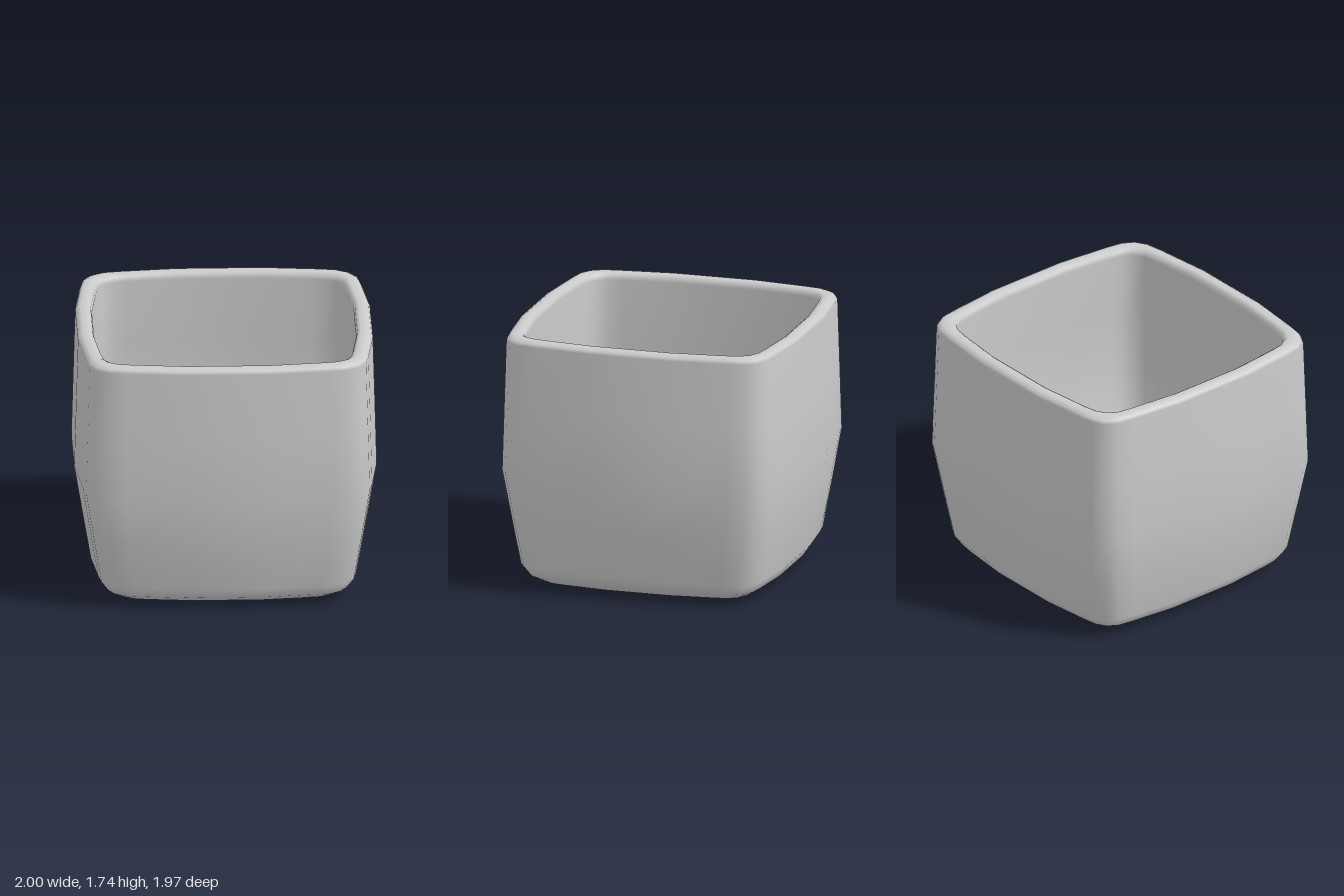
import * as THREE from 'three';

// One eighth of the bulging rounded-square outline, from mid side to corner
const EIGHTH = [[1, 0], [1, 0.3], [0.957, 0.69], [0.937, 0.81], [0.89, 0.89]];

// Wall profile as [scale, height]: up the outside, over the rim, down the inside
const PROFILE = [
  [0.3, 0], [0.55, 0], [0.65, 0.003], [0.76, 0.025], [0.84, 0.075], [0.89, 0.15],
  [0.945, 0.475], [1, 0.81], [0.988, 1.25], [0.975, 1.7], [0.965, 1.72], [0.94, 1.735],
  [0.895, 1.735], [0.873, 1.72], [0.865, 1.69], [0.873, 1.25], [0.88, 0.81],
  [0.83, 0.5], [0.785, 0.27], [0.745, 0.19], [0.68, 0.14], [0.6, 0.12], [0.3, 0.12],
];

function outline() {
  // Mirror across the diagonal to get a quarter, then turn it four times
  const quarter = [...EIGHTH, ...EIGHTH.slice(1, -1).reverse().map(([a, b]) => [b, a])];
  const points = [];
  for (let k = 0; k < 4; k++) {
    for (const [a, b] of quarter) {
      let x = a, z = b;
      for (let i = 0; i < k; i++) [x, z] = [-z, x];
      points.push([x, z * 0.985]);
    }
  }
  return points;
}

function potGeometry() {
  const loop = outline();
  const n = loop.length;
  const positions = [];
  const index = [];
  PROFILE.forEach(([s, y], row) => {
    loop.forEach(([x, z], i) => {
      positions.push(x * s, y, z * s);
      if (row === PROFILE.length - 1) return;
      const a = row * n + i, b = row * n + (i + 1) % n;
      index.push(a, a + n, b, b, a + n, b + n);
    });
  });

  // Close the underside and the inner floor
  const last = (PROFILE.length - 1) * n;
  const under = PROFILE.length * n, floor = under + 1;
  positions.push(0, 0, 0, 0, PROFILE[PROFILE.length - 1][1], 0);
  for (let i = 0; i < n; i++) {
    const j = (i + 1) % n;
    index.push(under, i, j, last + i, floor, last + j);
  }

  const geometry = new THREE.BufferGeometry();
  geometry.setAttribute('position', new THREE.Float32BufferAttribute(positions, 3));
  geometry.setIndex(index);
  geometry.computeVertexNormals();
  return geometry;
}

export function createModel() {
  const group = new THREE.Group();
  group.name = 'squarePot';
  const pot = new THREE.Mesh(potGeometry(), new THREE.MeshStandardMaterial({ color: 0xcccccc }));
  pot.name = 'potBody';
  group.add(pot);
  return group;
}
